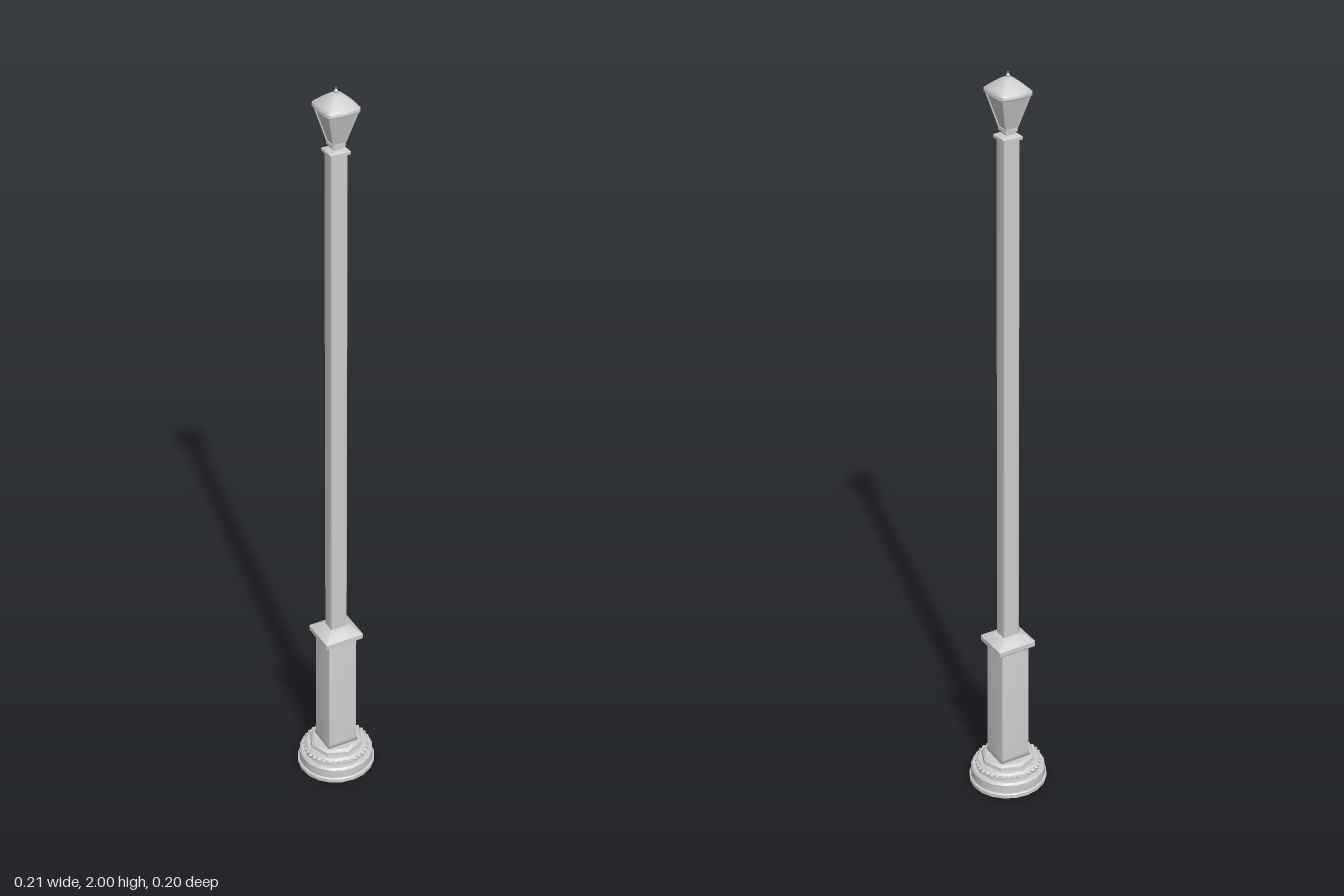
import * as THREE from 'three';
import { toCreasedNormals } from 'three/addons/utils/BufferGeometryUtils.js';

const material = new THREE.MeshStandardMaterial({ color: 0xcccccc, roughness: 0.6 });

// Unit outlines, counter-clockwise seen from above, as [x, z].
function round(n) {
  return Array.from({ length: n }, (_, i) => {
    const t = (i / n) * Math.PI * 2;
    return [Math.sin(t), Math.cos(t)];
  });
}

// Square with a chamfered corner (c) and side middles that bulge (corners pulled in to k).
function square(c = 0.06, k = 1) {
  const points = [];
  for (let q = 0; q < 4; q++) {
    for (const [x, z] of [[0, 1], [k - c, k], [k, k - c]]) {
      const t = (q * Math.PI) / 2, s = Math.sin(t), o = Math.cos(t);
      points.push([x * o + z * s, z * o - x * s]);
    }
  }
  return points;
}

// Skins an outline through rows of [height, half width, half depth], bottom to top.
function loft(name, outline, rows, crease = 0.6) {
  const n = outline.length, position = [], index = [];
  const closed = [[rows[0][0], 0, 0], ...rows, [rows[rows.length - 1][0], 0, 0]];
  closed.forEach(([y, hx, hz]) => outline.forEach(([x, z]) => position.push(x * hx, y, z * hz)));
  for (let i = 0; i < closed.length - 1; i++) {
    for (let j = 0; j < n; j++) {
      const a = i * n + j, b = i * n + ((j + 1) % n);
      if (i < closed.length - 2) index.push(a, b, b + n);
      if (i > 0) index.push(a, b + n, a + n);
      else index.push(a, b + n, a + n);
      if (i === closed.length - 2) index.push(a, b, b + n);
    }
  }
  const geometry = new THREE.BufferGeometry();
  geometry.setAttribute('position', new THREE.Float32BufferAttribute(position, 3));
  geometry.setIndex(index);
  geometry.computeVertexNormals();
  return part(name, crease ? toCreasedNormals(geometry, crease) : geometry);
}

function part(name, geometry) {
  const mesh = new THREE.Mesh(geometry, material);
  mesh.name = name;
  return mesh;
}

// Straight bar between two points.
function bar(name, from, to, radius) {
  const direction = to.clone().sub(from);
  const mesh = part(name, new THREE.CylinderGeometry(radius, radius, direction.length(), 6));
  mesh.position.copy(from).add(to).multiplyScalar(0.5);
  mesh.quaternion.setFromUnitVectors(new THREE.Vector3(0, 1, 0), direction.normalize());
  return mesh;
}

function createBase() {
  const base = new THREE.Group();
  base.name = 'base';
  base.add(loft('footPlate', round(20), [
    [0, 0.105, 0.102], [0.01, 0.105, 0.102], [0.013, 0.1, 0.098],
    [0.038, 0.1, 0.098], [0.043, 0.096, 0.092],
  ]));
  base.add(loft('lowerStep', round(12), [
    [0.04, 0.09, 0.086], [0.058, 0.088, 0.084], [0.064, 0.082, 0.078],
  ]));
  base.add(loft('upperStep', round(8), [
    [0.06, 0.075, 0.072], [0.074, 0.073, 0.07], [0.08, 0.066, 0.062],
  ]));

  // Beaded moulding around the lower step
  const beads = new THREE.Group();
  beads.name = 'beadMoulding';
  const bead = new THREE.OctahedronGeometry(0.007);
  for (const [x, z] of round(36)) {
    const mesh = part('bead', bead);
    mesh.position.set(x * 0.086, 0.055, z * 0.082);
    mesh.rotation.y = Math.atan2(x, z);
    beads.add(mesh);
  }
  base.add(beads);
  return base;
}

function createLantern() {
  const lantern = new THREE.Group();
  lantern.name = 'lantern';
  lantern.add(loft('neck', square(0.2), [
    [1.84, 0.012, 0.012], [1.85, 0.012, 0.012], [1.853, 0.018, 0.018], [1.861, 0.018, 0.018],
  ]));
  lantern.add(loft('glass', square(0.04), [[1.858, 0.014, 0.014], [1.944, 0.037, 0.038]]));

  // Corner bars of the tapered frame
  for (const sx of [-1, 1]) {
    for (const sz of [-1, 1]) {
      lantern.add(bar('frameBar',
        new THREE.Vector3(sx * 0.0145, 1.858, sz * 0.0145),
        new THREE.Vector3(sx * 0.037, 1.944, sz * 0.038), 0.0025));
    }
  }

  // Bowed roof with an overhanging rim
  lantern.add(loft('roof', square(0.12, 0.93), [
    [1.94, 0.04, 0.041], [1.944, 0.046, 0.047], [1.952, 0.046, 0.047], [1.958, 0.04, 0.041],
    [1.966, 0.031, 0.031], [1.973, 0.022, 0.022], [1.979, 0.014, 0.014], [1.983, 0.006, 0.006],
  ], 0.8));
  const knob = part('finialKnob', new THREE.SphereGeometry(0.005, 10, 8));
  knob.position.y = 1.986;
  const spike = part('finialSpike', new THREE.ConeGeometry(0.003, 0.014, 8));
  spike.position.y = 1.993;
  lantern.add(knob, spike);
  return lantern;
}

export function createModel() {
  const model = new THREE.Group();
  model.name = 'lampPost';
  model.add(createBase());

  // Square pedestal and its moulded cap
  model.add(loft('pedestal', square(0.08), [
    [0.075, 0.046, 0.044], [0.09, 0.042, 0.04], [0.425, 0.041, 0.039],
  ], 0));
  model.add(loft('pedestalCap', square(0.05), [
    [0.42, 0.041, 0.039], [0.43, 0.054, 0.05], [0.443, 0.054, 0.05],
    [0.452, 0.042, 0.037], [0.462, 0.027, 0.021],
  ]));

  // Tall square pole, softly shaded into its flared top
  model.add(loft('pole', square(0.1), [
    [0.45, 0.023, 0.018], [1.832, 0.022, 0.017], [1.836, 0.025, 0.022],
  ], 0));
  model.add(loft('poleCollar', square(0.08), [
    [1.833, 0.026, 0.025], [1.84, 0.026, 0.025], [1.845, 0.016, 0.016],
  ]));

  model.add(createLantern());
  return model;
}
